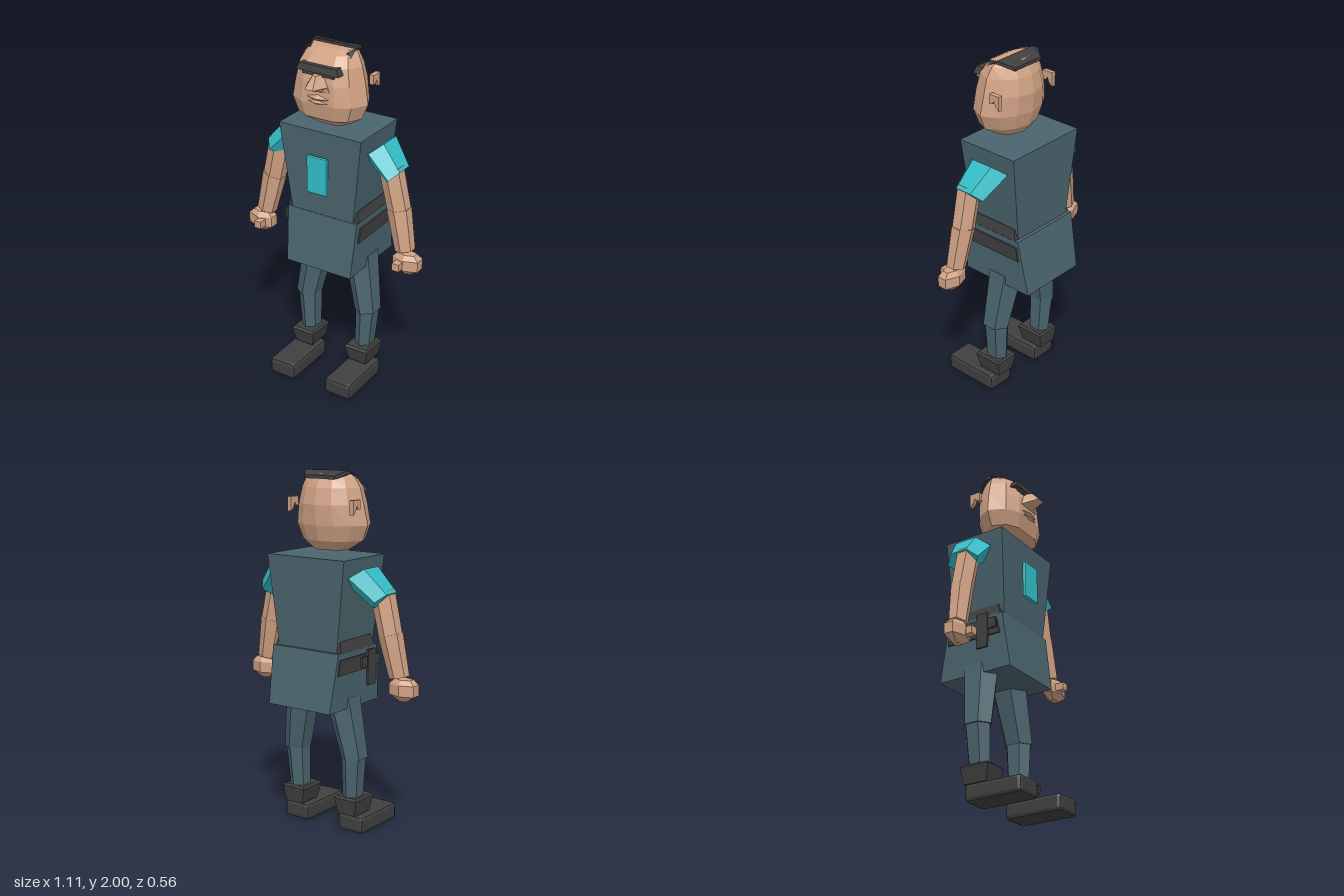
import * as THREE from 'three';
import { RoundedBoxGeometry } from 'three/addons/geometries/RoundedBoxGeometry.js';

const mat = (name, color) => {
  const m = new THREE.MeshStandardMaterial({ color, flatShading: true });
  m.name = name;
  return m;
};

// Closed solid through a list of equal-length rings of [x, y, z]
function loft(rings) {
  const tris = [];
  const n = rings[0].length;
  for (let r = 0; r + 1 < rings.length; r++) {
    const a = rings[r], b = rings[r + 1];
    for (let i = 0; i < n; i++) {
      const j = (i + 1) % n;
      tris.push([a[i], a[j], b[j]], [a[i], b[j], b[i]]);
    }
  }
  const first = rings[0], last = rings[rings.length - 1];
  for (let i = 1; i + 1 < n; i++) {
    tris.push([first[0], first[i + 1], first[i]], [last[0], last[i], last[i + 1]]);
  }
  // turn faces outward whatever the ring direction
  let volume = 0;
  for (const [a, b, c] of tris) {
    volume += new THREE.Vector3(...a).dot(new THREE.Vector3(...b).cross(new THREE.Vector3(...c)));
  }
  if (volume < 0) tris.forEach((t) => t.reverse());
  const g = new THREE.BufferGeometry();
  g.setAttribute('position', new THREE.Float32BufferAttribute(tris.flat(2), 3));
  g.computeVertexNormals();
  return g;
}

// Six-sided ring, tilted in the xy plane; s mirrors it in x
function hexRing(s, [x, y, z], hx, hz, tilt = 0) {
  return Array.from({ length: 6 }, (_, i) => {
    const a = Math.PI / 6 + (i * Math.PI) / 3;
    const u = (Math.cos(a) * hx) / 0.866;
    return [s * (x + u * Math.cos(tilt)), y + u * Math.sin(tilt), z + Math.sin(a) * hz];
  });
}

const rect = (y, x0, x1, z0, z1) => [[x0, y, z0], [x1, y, z0], [x1, y, z1], [x0, y, z1]];

export function createModel() {
  const root = new THREE.Group();
  root.name = 'figure';
  const skin = mat('skin', 0xd0a284);
  const cloth = mat('slate cloth', 0x4a646d);
  const teal = mat('teal', 0x33bec8);
  const dark = mat('charcoal', 0x3f3f3f);

  const add = (name, geometry, material, parent = root) => {
    const m = new THREE.Mesh(geometry, material);
    m.name = name;
    parent.add(m);
    return m;
  };
  const box = (name, material, w, h, d, x, y, z, parent) =>
    add(name, new THREE.BoxGeometry(w, h, d), material, parent).position.set(x, y, z);

  // Tunic
  add('torso', loft([rect(1.04, -0.195, 0.195, -0.2, 0.13), rect(1.55, -0.256, 0.256, -0.22, 0.155)]), cloth);
  add('tunicSkirt', loft([rect(0.73, -0.207, 0.207, -0.28, 0.175), rect(1.05, -0.222, 0.222, -0.22, 0.133)]), cloth);
  add('chestPanel', new RoundedBoxGeometry(0.125, 0.215, 0.022, 1, 0.006), teal).position.set(-0.002, 1.303, 0.174);

  for (const s of [1, -1]) {
    const side = s > 0 ? 'left' : 'right';

    // Belt pads
    add(side + 'UpperBeltPad', loft([rect(1.045, s * 0.17, s * 0.222, -0.2, 0.12), rect(1.11, s * 0.17, s * 0.207, -0.18, 0.1)]), dark);
    add(side + 'LowerBeltPad', loft([rect(0.93, s * 0.17, s * 0.225, -0.222, 0.118), rect(1.015, s * 0.17, s * 0.23, -0.21, 0.1)]), dark);

    // Arm
    const arm = new THREE.Group();
    arm.name = side + 'Arm';
    root.add(arm);
    add('sleeve', loft([
      hexRing(s, [0.255, 1.455, -0.05], 0.072, 0.13, 0.69),
      hexRing(s, [0.38, 1.33, -0.018], 0.057, 0.1, 0.78),
    ]), teal, arm);
    add('upperArm', loft([
      hexRing(s, [0.35, 1.375, 0], 0.06, 0.062, 0.22),
      hexRing(s, [0.405, 1.14, 0], 0.058, 0.058, 0.2),
    ]), skin, arm);
    add('forearm', loft([
      hexRing(s, [0.405, 1.145, 0], 0.061, 0.06, 0.22),
      hexRing(s, [0.455, 0.915, 0.013], 0.05, 0.05, 0.22),
    ]), skin, arm);
    add('hand', loft([
      hexRing(s, [0.478, 0.785, 0.025], 0.025, 0.02),
      hexRing(s, [0.478, 0.82, 0.025], 0.077, 0.055),
      hexRing(s, [0.478, 0.88, 0.025], 0.077, 0.055),
      hexRing(s, [0.478, 0.907, 0.025], 0.05, 0.035),
    ]), skin, arm);
    box('thumb', skin, 0.042, 0.042, 0.06, s * 0.454, 0.85, 0.085, arm);

    // Leg
    const leg = new THREE.Group();
    leg.name = side + 'Leg';
    root.add(leg);
    add('thigh', loft([
      hexRing(s, [0.135, 0.775, -0.06], 0.078, 0.11, 0.15),
      hexRing(s, [0.198, 0.435, -0.035], 0.061, 0.085),
    ]), cloth, leg);
    add('calf', loft([
      hexRing(s, [0.195, 0.445, -0.037], 0.056, 0.078),
      hexRing(s, [0.183, 0.19, -0.03], 0.045, 0.065),
    ]), cloth, leg);
    add('bootCuff', loft([
      rect(0.11, s * 0.128, s * 0.24, -0.093, 0.05),
      rect(0.2, s * 0.107, s * 0.256, -0.102, 0.07),
      rect(0.212, s * 0.117, s * 0.246, -0.092, 0.06),
    ]), dark, leg);
    add('shoe', new RoundedBoxGeometry(0.168, 0.098, 0.343, 1, 0.02), dark, leg).position.set(s * 0.188, 0.052, 0.107);
  }

  // Sidearm on the right hip
  const holster = new THREE.Group();
  holster.name = 'holster';
  root.add(holster);
  box('holsterBody', dark, 0.014, 0.2, 0.07, -0.258, 0.945, 0.03, holster);
  box('holsterStrap', dark, 0.012, 0.06, 0.17, -0.255, 0.98, 0.03, holster);

  // Head: one outline scaled level by level, [y, half width, back z, front z]
  const head = new THREE.Group();
  head.name = 'head';
  root.add(head);
  const half = [[0.45, -0.85], [0.8, -0.5], [1, 0.1], [0.8, 0.72], [0.45, 1]];
  const outline = [[0, -1], ...half, [0, 1], ...half.map(([x, z]) => [-x, z]).reverse()];
  const levels = [
    [1.573, 0.11, -0.06, 0.085], [1.625, 0.19, -0.1, 0.155], [1.71, 0.226, -0.125, 0.172],
    [1.82, 0.205, -0.135, 0.165], [1.91, 0.183, -0.115, 0.145], [1.965, 0.155, -0.085, 0.1],
    [1.985, 0.13, -0.06, 0.06],
  ];
  add('skull', loft(levels.map(([y, w, back, front]) => outline.map(([x, z]) =>
    [x * w, y, (front + back) / 2 + (z * (front - back)) / 2]))), skin, head);

  // Nose and lips
  const noseRing = (y, w, tip, z) => [[-w, y, 0.13], [-w, y, z], [-w * 0.4, y, tip], [w * 0.4, y, tip], [w, y, z], [w, y, 0.13]];
  add('nose', loft([
    noseRing(1.785, 0.072, 0.18, 0.17), noseRing(1.815, 0.06, 0.253, 0.175), noseRing(1.875, 0.025, 0.2, 0.16),
  ]), skin, head);
  for (const [name, y, h] of [['upperLip', 1.745, 0.02], ['lowerLip', 1.722, 0.015]]) {
    const lip = add(name, new THREE.OctahedronGeometry(1), skin, head);
    lip.scale.set(0.08, h, 0.022);
    lip.position.set(0, y, 0.167);
  }

  // Brow and eye line
  add('brow', loft([
    rect(1.882, -0.13, 0.13, 0.1, 0.175), rect(1.918, -0.112, 0.112, 0.1, 0.165),
  ]), dark, head);
  box('eyeLine', dark, 0.19, 0.016, 0.02, 0, 1.872, 0.158, head);

  // Flat hair patch
  const hairRing = (d) => [[-0.138, 1.993, 0], [0.138, 1.993, 0], [0.138, 1.993, -0.035], [0.1, 1.968, -0.092],
    [-0.1, 1.968, -0.092], [-0.138, 1.993, -0.035]].map(([x, y, z]) => [x, y + d, z]);
  add('hair', loft([hairRing(-0.012), hairRing(0.006)]), dark, head);

  for (const s of [1, -1]) {
    const side = s > 0 ? 'left' : 'right';
    // Temple tufts
    add(side + 'Tuft', loft([
      [[s * 0.138, 1.995, 0], [s * 0.115, 1.982, 0.065], [s * 0.138, 1.955, 0.065]],
      [[s * 0.13, 1.985, 0], [s * 0.107, 1.972, 0.065], [s * 0.13, 1.945, 0.065]],
    ]), dark, head);
    // Notched ears
    const shape = new THREE.Shape([[-0.033, 0.04], [-0.033, -0.04], [-0.012, -0.022], [0, 0.008], [0.012, -0.01], [0.033, -0.012], [0.033, 0.04]]
      .map(([x, y]) => new THREE.Vector2(-x, y)));
    const ear = add(side + 'Ear', new THREE.ExtrudeGeometry(shape, { depth: 0.026, bevelEnabled: false }), skin, head);
    ear.rotation.y = Math.PI / 2;
    ear.position.set(s * 0.208 - 0.013, 1.812, -0.055);
  }
  return root;
}
